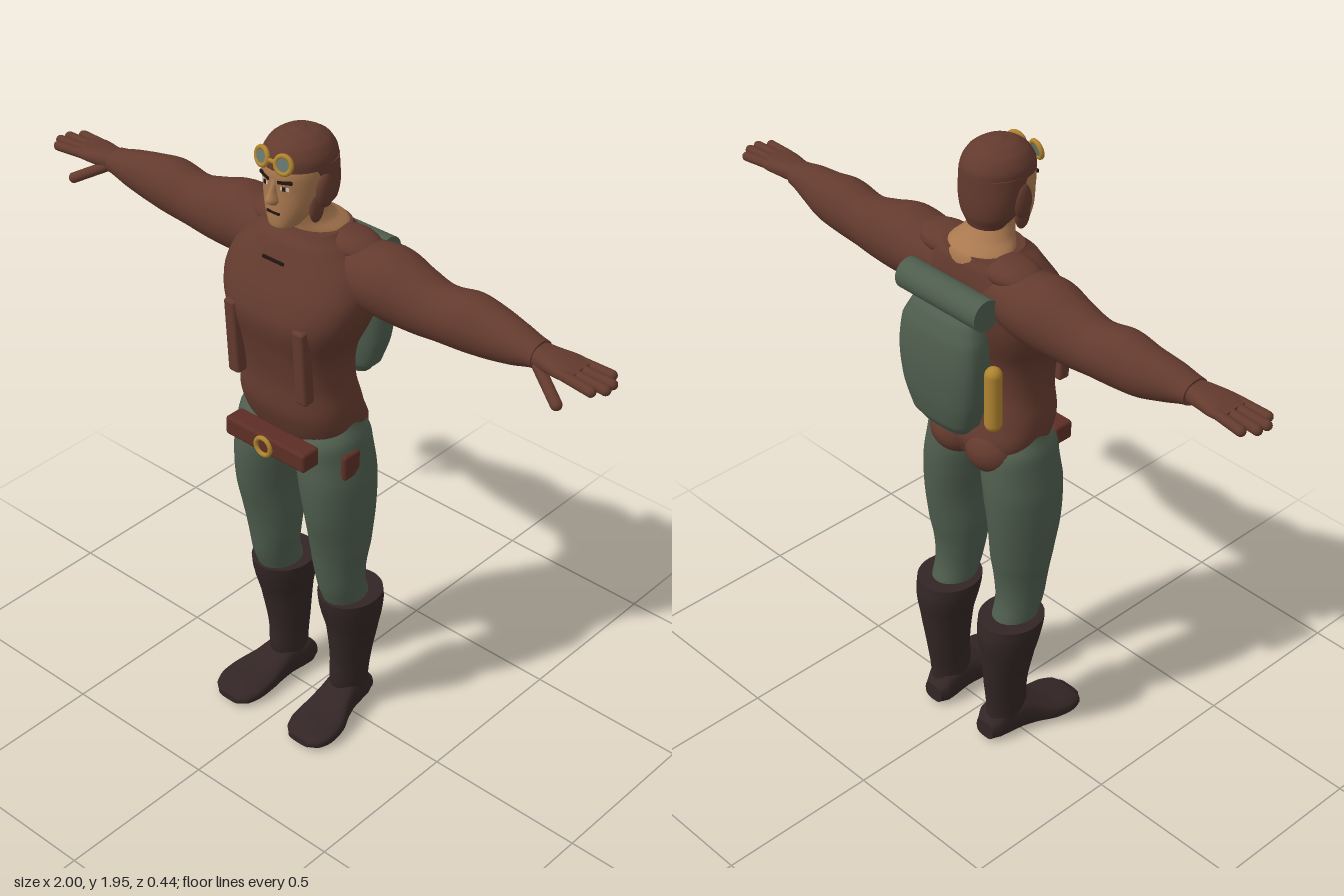
import * as THREE from 'three';
import { RoundedBoxGeometry } from 'three/addons/geometries/RoundedBoxGeometry.js';

const mat = (name, color) => Object.assign(new THREE.MeshStandardMaterial({ color }), { name });
const M = {
  leather: mat('brown leather', 0x633a2e),
  belt: mat('belt leather', 0x5c2e25),
  cloth: mat('green cloth', 0x4e5d4d),
  boot: mat('dark boot leather', 0x332525),
  skin: mat('skin', 0xa9784f),
  gold: mat('brass', 0xb0842f),
  lens: mat('goggle glass', 0x66776f),
  dark: mat('dark hair', 0x24150f),
  white: mat('eye white', 0xc9c0b0),
};

// Smooth closed body through rings [t, centreU, centreV, radiusU, radiusV], t rising.
// Axis y: u=x, v=z.  Axis x: u=z, v=y.  Axis z: u=y, v=x.
function loft(rings, axis = 'y', p = 2, n = 32, sub = 5) {
  const place = { y: (t, u, v) => [u, t, v], x: (t, u, v) => [t, v, u], z: (t, u, v) => [v, u, t] }[axis];
  const pos = [], idx = [], last = rings.length - 1;
  const pw = (a) => Math.sign(a) * Math.abs(a) ** (2 / p);
  const cr = (a, b, c, d, f) =>
    0.5 * (2 * b + (c - a) * f + (2 * a - 5 * b + 4 * c - d) * f * f + (3 * b - a - 3 * c + d) * f * f * f);
  const rows = last * sub + 1;
  let first, end;
  for (let r = 0; r < rows; r++) {
    const i = Math.min(Math.floor(r / sub), last - 1), f = r / sub - i;
    const R = (k) => rings[Math.max(0, Math.min(last, k))];
    const s = rings[0].map((_, k) => cr(R(i - 1)[k], R(i)[k], R(i + 1)[k], R(i + 2)[k], f));
    s[0] = R(i)[0] + (R(i + 1)[0] - R(i)[0]) * f;
    for (let j = 0; j < n; j++) {
      const a = (j / n) * Math.PI * 2;
      pos.push(...place(s[0], s[1] + s[3] * pw(Math.cos(a)), s[2] + s[4] * pw(Math.sin(a))));
      if (r < rows - 1) {
        const A = r * n + j, B = r * n + (j + 1) % n;
        idx.push(A, A + n, B, B, A + n, B + n);
      }
    }
    if (r === 0) first = s;
    end = s;
  }
  // End caps on their own vertices keep the rim crisp
  for (const [s, row, flip] of [[first, 0, false], [end, rows - 1, true]]) {
    const base = pos.length / 3;
    pos.push(...pos.slice(row * n * 3, (row + 1) * n * 3), ...place(s[0], s[1], s[2]));
    for (let j = 0; j < n; j++) {
      const A = base + j, B = base + (j + 1) % n;
      if (flip) idx.push(base + n, B, A); else idx.push(base + n, A, B);
    }
  }
  const g = new THREE.BufferGeometry();
  g.setAttribute('position', new THREE.Float32BufferAttribute(pos, 3));
  g.setIndex(idx);
  g.computeVertexNormals();
  return g;
}

// Mirrored copy across x with the winding restored
function mirror(geo) {
  const g = geo.clone().scale(-1, 1, 1);
  if (!g.index) g.setIndex([...Array(g.attributes.position.count).keys()]);
  const ix = g.index.array;
  for (let i = 0; i < ix.length; i += 3) [ix[i], ix[i + 1]] = [ix[i + 1], ix[i]];
  return g;
}

const blob = (x, y, z, a, b, c) => new THREE.SphereGeometry(1, 24, 16).scale(a, b, c).translate(x, y, z);
const box = (x, y, z, w, h, d, r = 0.01) => new RoundedBoxGeometry(w, h, d, 3, r).translate(x, y, z);
const plate = (x, y, z, w, h, yaw = 0, roll = 0) =>
  new THREE.BoxGeometry(w, h, 0.006).rotateZ(roll).rotateY(yaw).translate(x, y, z);

// Rounded digit between two points
function digit(a, b, r) {
  const A = new THREE.Vector3(...a), d = new THREE.Vector3(...b).sub(A);
  const q = new THREE.Quaternion().setFromUnitVectors(new THREE.Vector3(0, 1, 0), d.clone().normalize());
  return new THREE.CapsuleGeometry(r, d.length() - r, 6, 12).applyQuaternion(q).translate(...A.addScaledVector(d, 0.5).toArray());
}

export function createModel() {
  const model = new THREE.Group();
  model.name = 'aviator';
  const add = (name, geo, m) => {
    const mesh = new THREE.Mesh(geo, m);
    mesh.name = name;
    model.add(mesh);
  };
  const pair = (name, geo, m) => {
    add('left' + name, geo, m);
    add('right' + name, mirror(geo), m);
  };

  // Jacket body and seat
  add('jacket', loft([
    [0.97, 0, 0.01, 0.07, 0.06], [1.0, 0, 0.02, 0.14, 0.1], [1.06, 0, 0.025, 0.178, 0.125],
    [1.13, 0, 0.045, 0.184, 0.125], [1.22, 0, 0.055, 0.168, 0.115], [1.32, 0, 0.06, 0.174, 0.125],
    [1.42, 0, 0.055, 0.215, 0.15], [1.5, 0, 0.04, 0.232, 0.145], [1.57, 0, 0.02, 0.21, 0.13],
    [1.63, 0, 0.008, 0.15, 0.112], [1.66, 0, 0, 0.108, 0.092],
  ], 'y', 2.6, 48), M.leather);
  pair('Seat', blob(0.072, 1.035, -0.035, 0.085, 0.075, 0.08), M.leather);
  pair('ShoulderSlope', blob(0.12, 1.625, -0.02, 0.1, 0.04, 0.07), M.leather);
  pair('ChestFlap', box(0, 0, 0, 0.042, 0.24, 0.04).rotateX(0.06).translate(0.125, 1.32, 0.175), M.leather);
  add('chestSlit', plate(-0.01, 1.585, 0.144, 0.075, 0.008), M.dark);

  // Sleeves, cuffs and gloved hands
  pair('Sleeve', loft([
    [0.1, -0.02, 1.56, 0.085, 0.075], [0.2, -0.02, 1.555, 0.1, 0.094], [0.28, -0.02, 1.555, 0.098, 0.104],
    [0.38, -0.02, 1.54, 0.082, 0.091], [0.45, -0.02, 1.536, 0.075, 0.08], [0.54, -0.02, 1.547, 0.076, 0.084],
    [0.62, -0.02, 1.546, 0.068, 0.073], [0.7, -0.012, 1.55, 0.056, 0.056], [0.77, -0.008, 1.553, 0.046, 0.036],
  ], 'x'), M.leather);
  pair('Palm', loft([
    [0.75, -0.008, 1.554, 0.036, 0.028], [0.8, -0.005, 1.555, 0.045, 0.026],
    [0.86, -0.005, 1.556, 0.056, 0.021], [0.9, -0.005, 1.555, 0.052, 0.014],
  ], 'x', 2.4), M.leather);
  [[-0.048, 0.965], [-0.018, 0.99], [0.012, 0.993], [0.04, 0.97]].forEach(([z, tip], i) =>
    pair('Finger' + (i + 1), digit([0.86, 1.557, z * 0.9], [tip, 1.551, z * 1.1], 0.0145), M.leather));
  pair('Thumb', digit([0.78, 1.542, 0.02], [0.885, 1.482, 0.068], 0.016), M.leather);

  // Trousers
  pair('TrouserLeg', loft([
    [0.42, 0.13, -0.01, 0.06, 0.075], [0.5, 0.13, 0.015, 0.066, 0.076], [0.58, 0.128, 0.022, 0.076, 0.083],
    [0.66, 0.13, 0.022, 0.086, 0.097], [0.78, 0.133, 0.028, 0.091, 0.118], [0.9, 0.124, 0.03, 0.101, 0.127],
    [0.98, 0.112, 0.03, 0.101, 0.122], [1.04, 0.112, 0.032, 0.092, 0.11], [1.09, 0.118, 0.03, 0.066, 0.06],
  ]), M.cloth);
  add('crotch', blob(0, 1.0, 0.05, 0.06, 0.045, 0.09), M.cloth);
  add('hipPatch', box(0.205, 0.98, 0.068, 0.02, 0.08, 0.066, 0.009), M.belt);

  // Boots
  pair('BootShaft', loft([
    [0.03, 0.12, -0.045, 0.05, 0.055], [0.1, 0.123, -0.03, 0.05, 0.068], [0.2, 0.126, -0.035, 0.056, 0.074],
    [0.32, 0.133, -0.033, 0.073, 0.088], [0.4, 0.133, -0.027, 0.089, 0.103], [0.45, 0.133, -0.02, 0.093, 0.103],
  ]), M.boot);
  pair('BootFoot', loft([
    [-0.112, 0.035, 0.115, 0.03, 0.035], [-0.08, 0.05, 0.115, 0.05, 0.05], [0, 0.056, 0.125, 0.056, 0.055],
    [0.05, 0.045, 0.133, 0.045, 0.064], [0.1, 0.034, 0.143, 0.034, 0.077], [0.16, 0.027, 0.147, 0.027, 0.08],
    [0.2, 0.022, 0.147, 0.021, 0.066], [0.222, 0.018, 0.145, 0.011, 0.04],
  ], 'z', 2.8), M.boot);

  // Belt and buckle
  add('belt', box(0, 1.018, 0.168, 0.3, 0.06, 0.066), M.belt);
  add('buckle', new THREE.TorusGeometry(0.027, 0.007, 10, 28).translate(0, 1.015, 0.204), M.gold);

  // Neck and face
  add('neck', loft([
    [1.62, 0, -0.02, 0.11, 0.085], [1.66, 0, -0.012, 0.1, 0.084], [1.685, 0, 0.01, 0.076, 0.07],
    [1.72, 0, 0.03, 0.062, 0.062], [1.78, 0, 0.04, 0.06, 0.06],
  ]), M.skin);
  add('face', loft([
    [1.682, 0, 0.118, 0.02, 0.022], [1.695, 0, 0.105, 0.042, 0.046], [1.74, 0, 0.08, 0.068, 0.072],
    [1.8, 0, 0.065, 0.083, 0.085], [1.85, 0, 0.055, 0.088, 0.096], [1.9, 0, 0.05, 0.08, 0.085],
  ], 'y', 2.2), M.skin);
  add('nose', loft([
    [1.762, 0, 0.145, 0.012, 0.016], [1.775, 0, 0.15, 0.018, 0.028], [1.8, 0, 0.148, 0.011, 0.019],
    [1.835, 0, 0.143, 0.009, 0.01],
  ], 'y', 2, 16), M.skin);
  pair('Eye', plate(0.034, 1.815, 0.143, 0.026, 0.01, 0.28), M.white);
  pair('Iris', plate(0.033, 1.815, 0.145, 0.01, 0.011, 0.28), M.dark);
  pair('Brow', plate(0.036, 1.834, 0.145, 0.042, 0.009, 0.28, 0.12), M.dark);
  add('mouth', plate(0, 1.738, 0.152, 0.042, 0.006), M.dark);

  // Flying helmet with ear cups
  add('helmetCrown', loft([
    [1.862, 0, 0.047, 0.097, 0.107], [1.89, 0, 0.047, 0.095, 0.104], [1.92, 0, 0.047, 0.078, 0.085],
    [1.94, 0, 0.048, 0.05, 0.054], [1.95, 0, 0.05, 0.012, 0.012],
  ]), M.leather);
  add('helmetBack', loft([
    [1.715, 0, 0.005, 0.058, 0.05], [1.75, 0, 0.012, 0.083, 0.068], [1.8, 0, 0.016, 0.094, 0.076],
    [1.87, 0, 0.035, 0.097, 0.095],
  ]), M.leather);
  pair('EarCup', blob(0.09, 1.795, 0.05, 0.018, 0.05, 0.03), M.leather);
  pair('CheekFlap', blob(0.074, 1.745, 0.065, 0.014, 0.045, 0.026), M.leather);

  // Goggles on the forehead
  const goggle = (g) => g.rotateX(-0.2).rotateY(0.2).translate(0.038, 1.89, 0.152);
  pair('GoggleRim', goggle(new THREE.TorusGeometry(0.024, 0.007, 10, 28)), M.gold);
  pair('GoggleLens', goggle(new THREE.CylinderGeometry(0.023, 0.023, 0.008, 24).rotateX(Math.PI / 2)), M.lens);
  add('goggleBridge', box(0, 1.89, 0.156, 0.024, 0.01, 0.01, 0.003), M.gold);

  // Backpack, bedroll and flask
  add('backpack', loft([
    [1.14, 0, -0.145, 0.085, 0.035], [1.17, 0, -0.148, 0.112, 0.052], [1.25, 0, -0.152, 0.138, 0.064],
    [1.36, 0, -0.153, 0.15, 0.069], [1.45, 0, -0.15, 0.143, 0.062], [1.5, 0, -0.145, 0.12, 0.045],
    [1.525, 0, -0.14, 0.09, 0.025],
  ], 'y', 2.8), M.cloth);
  add('bedroll', new THREE.CylinderGeometry(0.046, 0.046, 0.31, 28).rotateZ(Math.PI / 2).translate(0, 1.55, -0.142), M.cloth);
  add('flask', new THREE.CapsuleGeometry(0.025, 0.155, 6, 20).translate(-0.184, 1.302, -0.145), M.gold);

  return model;
}
